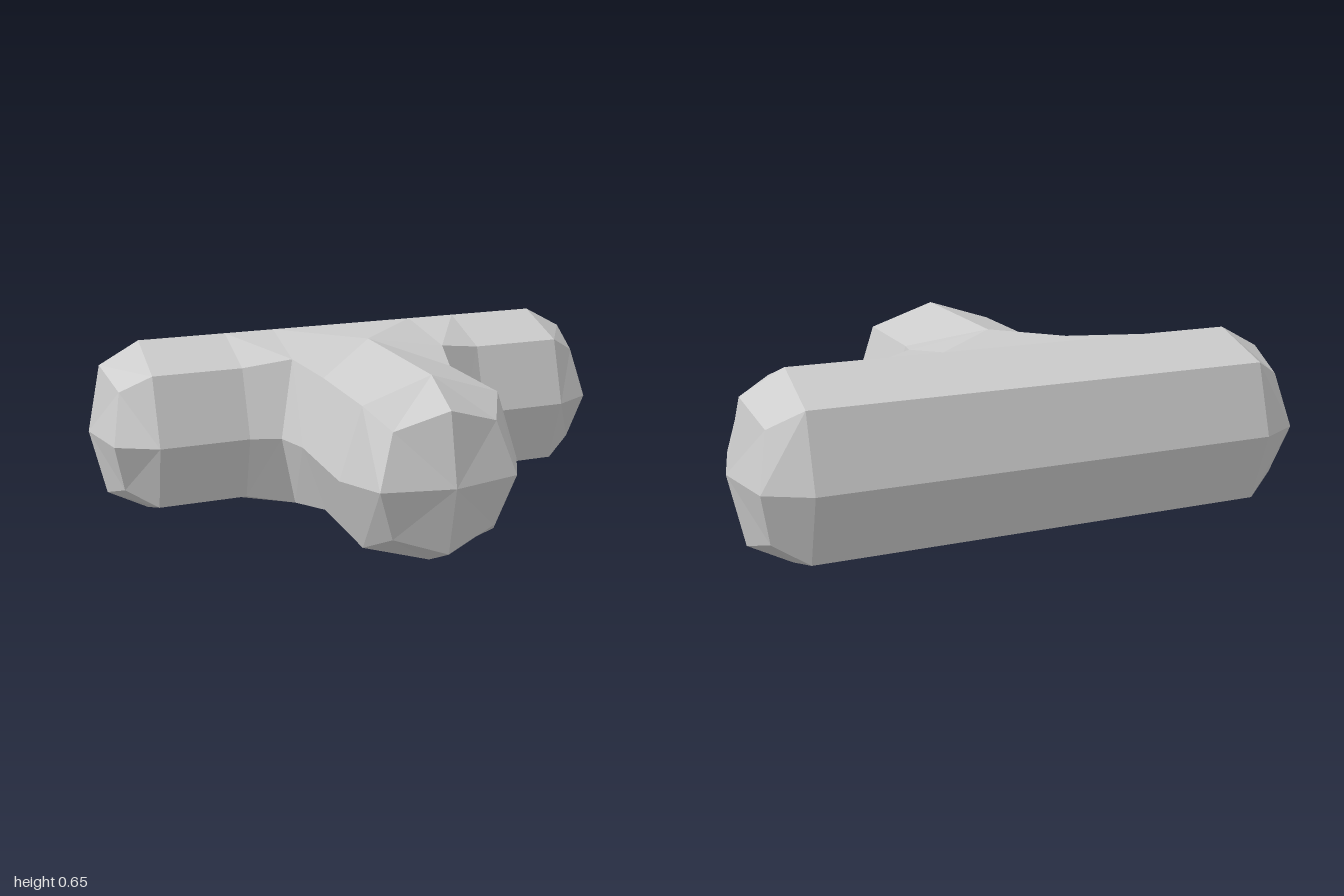
import * as THREE from 'three';

const MID = 0.325;      // height of both tube axes
const R = 0.325, D = 0.245; // octagon: top radius and diagonal height
const ZC = -0.377;      // bar axis in z
const SHIFT = -0.007;   // slight sideways offset of the leg

// Octagon quarter of the bar: top, diagonal, side (s = +1 front, -1 back)
const barSection = (x, s) => [[x, R, ZC], [x, D, ZC + s * 0.237], [x, 0, ZC + s * 0.315]];
const barRing = s => [[0.947, D, ZC], [0.91, 0.183, ZC + s * 0.178], [0.947, 0, ZC + s * 0.237]];
// Octagon quarter of the leg: top, diagonal, side
const legSection = z => [[0, R, z], [0.242, D, z], [0.323, 0, z]];
const legRing = [[0, D, 0.637], [0.182, 0.183, 0.595], [0.242, 0, 0.637]];
// Corner where bar and leg meet
const cornerTop = [0.28, R, ZC], corner = [0.296, 0.275, -0.088], cornerSide = [0.361, 0, -0.025];

// Quads between consecutive rows of points
function rowsToQuads(...rows) {
  const quads = [];
  for (let r = 0; r + 1 < rows.length; r++) {
    const a = rows[r], b = rows[r + 1];
    for (let i = 0; i + 1 < a.length; i++) quads.push([a[i], a[i + 1], b[i + 1], b[i]]);
  }
  return quads;
}

// Mirrors the upper +x quarter to all four quarters
function mirroredMesh(name, quads, material) {
  const pos = [];
  for (const sx of [1, -1]) for (const sy of [1, -1]) {
    for (const q of quads) {
      const p = q.map(([x, y, z]) => [sx * x + (x < 0.5 ? SHIFT : 0), MID + sy * y, z]);
      for (const tri of [[0, 1, 3], [1, 2, 3]]) {
        if (sx * sy < 0) tri.reverse();
        for (const k of tri) pos.push(...p[k]);
      }
    }
  }
  const geo = new THREE.BufferGeometry();
  geo.setAttribute('position', new THREE.Float32BufferAttribute(pos, 3));
  geo.computeVertexNormals();
  const mesh = new THREE.Mesh(geo, material);
  mesh.name = name;
  return mesh;
}

export function createModel() {
  const group = new THREE.Group();
  group.name = 'teeConnector';
  const material = new THREE.MeshStandardMaterial({ color: 0xcccccc, flatShading: true });

  // Crossbar: front arms, full-length back, faceted end caps
  const tip = [1, 0, ZC];
  const [ft, fd, fs] = barRing(1), [bt, bd, bs] = barRing(-1);
  const bar = [
    ...rowsToQuads(barSection(0.468, 1), barSection(0.8, 1), barRing(1)),
    [ft, fd, fs, tip],
    ...rowsToQuads(barRing(-1), barSection(0.8, -1), barSection(0, -1)),
    [bt, tip, bs, bd],
  ];
  group.add(mirroredMesh('crossbar', bar, material));

  // Leg with its faceted end cap
  const [lt, ld, ls] = legRing;
  const leg = [
    [lt, [0, 0, 0.69], ls, ld],
    ...rowsToQuads(legRing, legSection(0.48), legSection(0.1)),
  ];
  group.add(mirroredMesh('leg', leg, material));

  // Blended joint between crossbar and leg
  const jointFront = [0, R, -0.095];
  const joint = [
    ...rowsToQuads([[0, R, ZC], jointFront], [cornerTop, corner]),
    ...rowsToQuads([cornerTop, corner, cornerSide], barSection(0.468, 1)),
    ...rowsToQuads(legSection(0.1), [jointFront, corner, cornerSide]),
  ];
  group.add(mirroredMesh('joint', joint, material));

  return group;
}
